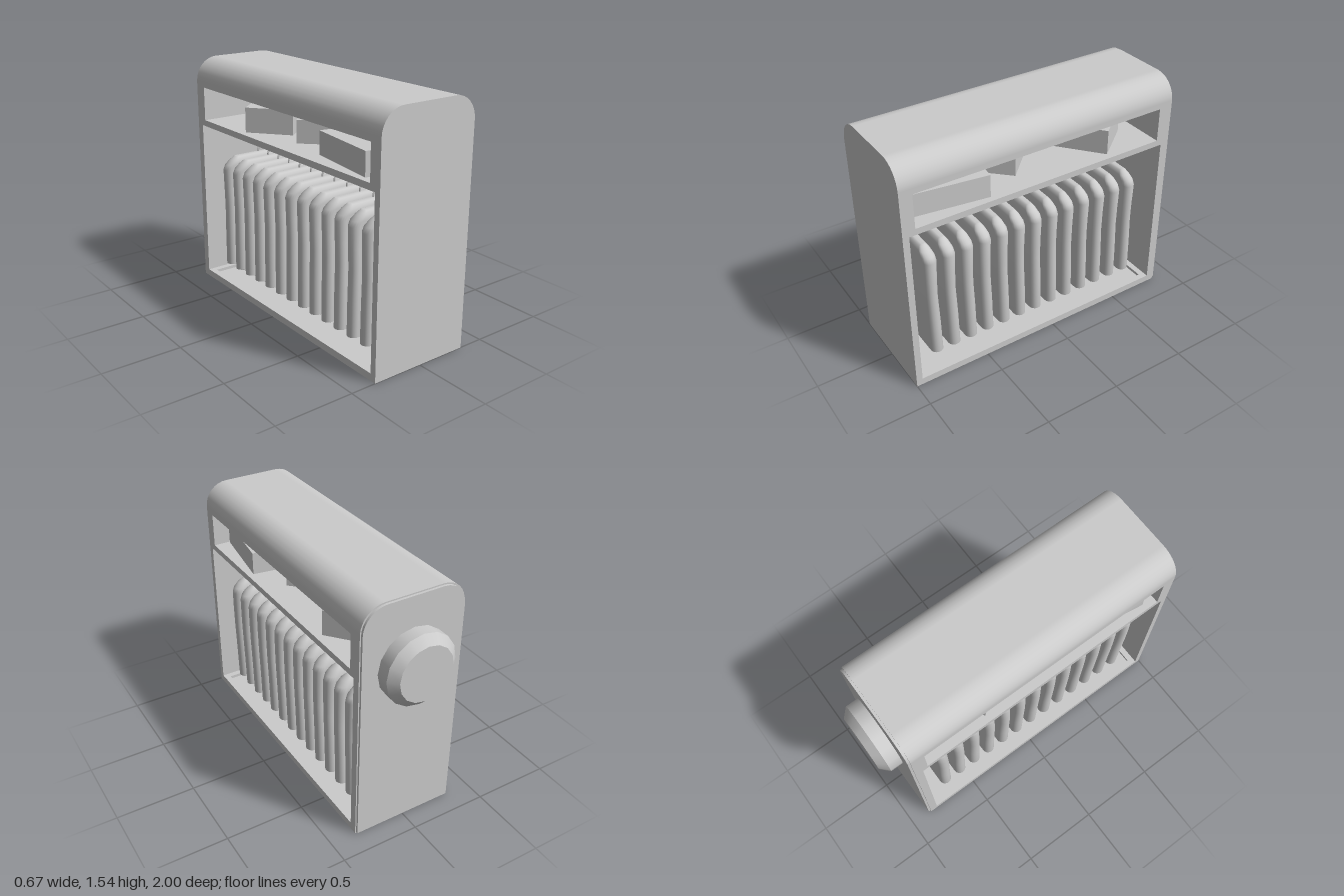
import * as THREE from 'three';
import { mergeVertices } from 'three/addons/utils/BufferGeometryUtils.js';

const HALF = 0.335, FRONT = 1, BACK = -0.855;

export function createModel() {
  const model = new THREE.Group();
  const grey = new THREE.MeshStandardMaterial({ color: 0xcccccc });

  const add = (name, geometry, parent = model) => {
    const mesh = new THREE.Mesh(geometry, grey);
    mesh.name = name;
    parent.add(mesh);
    return mesh;
  };
  // Box given by its limits on each axis
  const slab = (name, x0, x1, y0, y1, z0, z1, parent = model) => {
    const mesh = add(name, new THREE.BoxGeometry(x1 - x0, y1 - y0, z1 - z0), parent);
    mesh.position.set((x0 + x1) / 2, (y0 + y1) / 2, (z0 + z1) / 2);
    return mesh;
  };
  // Upright panel with rounded upper corners, extruded along z
  const arched = (name, w, y0, y1, z0, z1) => {
    const r = 0.15, s = new THREE.Shape();
    s.moveTo(-w, y0);
    s.lineTo(w, y0);
    s.lineTo(w, y1 - r);
    s.absarc(w - r, y1 - r, r, 0, Math.PI / 2);
    s.absarc(r - w, y1 - r, r, Math.PI / 2, Math.PI);
    const geo = new THREE.ExtrudeGeometry(s, { depth: z1 - z0, bevelEnabled: false, curveSegments: 4 });
    // Smooth the normals around the rounded corners
    const p = geo.attributes.position, n = geo.attributes.normal;
    for (let i = 0; i < p.count; i++) {
      if (Math.abs(n.getZ(i)) > 0.5 || n.getY(i) < -0.5 || p.getY(i) < y1 - r - 1e-4) continue;
      const cx = Math.sign(p.getX(i)) * (w - r);
      n.setXYZ(i, (p.getX(i) - cx) / r, (p.getY(i) - y1 + r) / r, 0);
    }
    return add(name, geo).translateZ(z0);
  };

  // Case: rounded roof, end walls (thicker beside the shelf), shelf and back plate
  arched('roof', HALF, 1.36, 1.545, BACK, FRONT);
  slab('frontWall', -HALF, HALF, 0, 1.14, 0.96, FRONT);
  slab('frontWallUpper', -HALF, HALF, 1.14, 1.36, 0.92, FRONT);
  slab('backWall', -HALF, HALF, 0, 1.14, BACK, -0.805);
  slab('backWallUpper', -HALF, HALF, 1.14, 1.36, BACK, -0.77);
  slab('shelf', -HALF, HALF, 1.1, 1.14, -0.805, 0.96);
  arched('backPlate', HALF - 0.007, 0.01, 1.537, -0.87, BACK);

  // Floor with a shallow tray inside a raised rim
  slab('floor', -HALF, HALF, 0, 0.025, -0.805, 0.96);
  for (const s of [-1, 1]) {
    const x = s * (HALF - 0.02);
    slab('floorSideRim', x - 0.02, x + 0.02, 0.025, 0.045, -0.805, 0.96);
  }
  slab('floorFrontRim', -0.295, 0.295, 0.025, 0.045, 0.92, 0.96);
  slab('floorBackRim', -0.295, 0.295, 0.025, 0.045, -0.805, -0.765);

  // Round knob on the back, with a chamfered rim
  const knob = new THREE.Group();
  knob.name = 'knob';
  knob.position.set(0, 1.12, -0.87);
  knob.rotation.x = -Math.PI / 2;
  model.add(knob);
  add('knobBase', new THREE.CylinderGeometry(0.227, 0.227, 0.08, 16), knob).position.y = 0.04;
  add('knobChamfer', new THREE.CylinderGeometry(0.175, 0.227, 0.05, 16), knob).position.y = 0.105;

  // Boxes turned at odd angles on the shelf: [z, depth, length, height, angle]
  for (const [z, d, l, h, a] of [
    [0.63, 0.53, 0.49, 0.145, 0.14],
    [0.13, 0.35, 0.184, 0.145, 0.785],
    [-0.372, 0.31, 0.5, 0.16, 0.89],
  ]) {
    const box = add('shelfBox', new THREE.BoxGeometry(d, h, l));
    box.position.set(0, 1.14 + h / 2, z);
    box.rotation.y = -a;
  }

  // Hanging rail
  const rail = add('rail', new THREE.CylinderGeometry(0.025, 0.025, 1.765, 16, 1, true));
  rail.rotation.x = Math.PI / 2;
  rail.position.set(0, 0.96, 0.0775);

  // Garments, each on its own hook
  const garmentGeo = garmentGeometry();
  const hookGeo = hookGeometry();
  for (let i = 0; i < 13; i++) {
    const hanger = new THREE.Group();
    hanger.name = 'hanger' + (i + 1);
    hanger.position.z = 0.808 - i * 0.121;
    model.add(hanger);
    add('garment', garmentGeo, hanger);
    add('hook', hookGeo, hanger);
  }
  return model;
}

// Wire hook that loops over the rail and drops to the garment
function hookGeometry() {
  const pts = [new THREE.Vector3(0, 0.88, 0), new THREE.Vector3(0, 0.92, 0)];
  for (let i = 0; i <= 8; i++) {
    const a = -Math.PI / 3 + (i / 8) * Math.PI * 1.35;
    pts.push(new THREE.Vector3(0.033 * Math.cos(a), 0.961 + 0.033 * Math.sin(a), 0));
  }
  return new THREE.TubeGeometry(new THREE.CatmullRomCurve3(pts), 28, 0.006, 6);
}

// Garment: flat, round-edged sections stacked from hem to shoulder
function garmentGeometry() {
  // [height, half width, half depth, z offset]
  const sections = [
    [0.12, 0.25, 0.03, -0.009], [0.127, 0.268, 0.04, -0.009], [0.35, 0.27, 0.04, -0.004],
    [0.55, 0.272, 0.038, 0.003], [0.68, 0.274, 0.039, 0.002], [0.81, 0.275, 0.042, -0.002],
    [0.845, 0.262, 0.041, 0.001], [0.875, 0.23, 0.035, 0.005], [0.895, 0.2, 0.022, 0.004],
    [0.9, 0.185, 0.01, 0.002],
  ];
  const N = 20, pos = [], idx = [];
  for (const [y, w, d, cz] of sections) {
    for (let j = 0; j < N; j++) {
      const side = j < N / 2 ? 1 : -1;
      const a = -Math.PI / 2 + ((j % (N / 2)) / (N / 2 - 1)) * Math.PI;
      pos.push(side * (w - d + d * Math.cos(a)), y, cz + side * d * Math.sin(a));
    }
  }
  for (let i = 0; i < sections.length - 1; i++) {
    for (let j = 0; j < N; j++) {
      const a = i * N + j, b = i * N + (j + 1) % N;
      idx.push(a, a + N, b, b, a + N, b + N);
    }
  }
  // Close hem and shoulder
  const top = (sections.length - 1) * N;
  for (let j = 1; j < N - 1; j++) {
    idx.push(0, j, j + 1, top, top + j + 1, top + j);
  }
  let geo = new THREE.BufferGeometry();
  geo.setAttribute('position', new THREE.Float32BufferAttribute(pos, 3));
  geo.setIndex(idx);
  geo = mergeVertices(geo);
  geo.computeVertexNormals();
  return geo;
}
